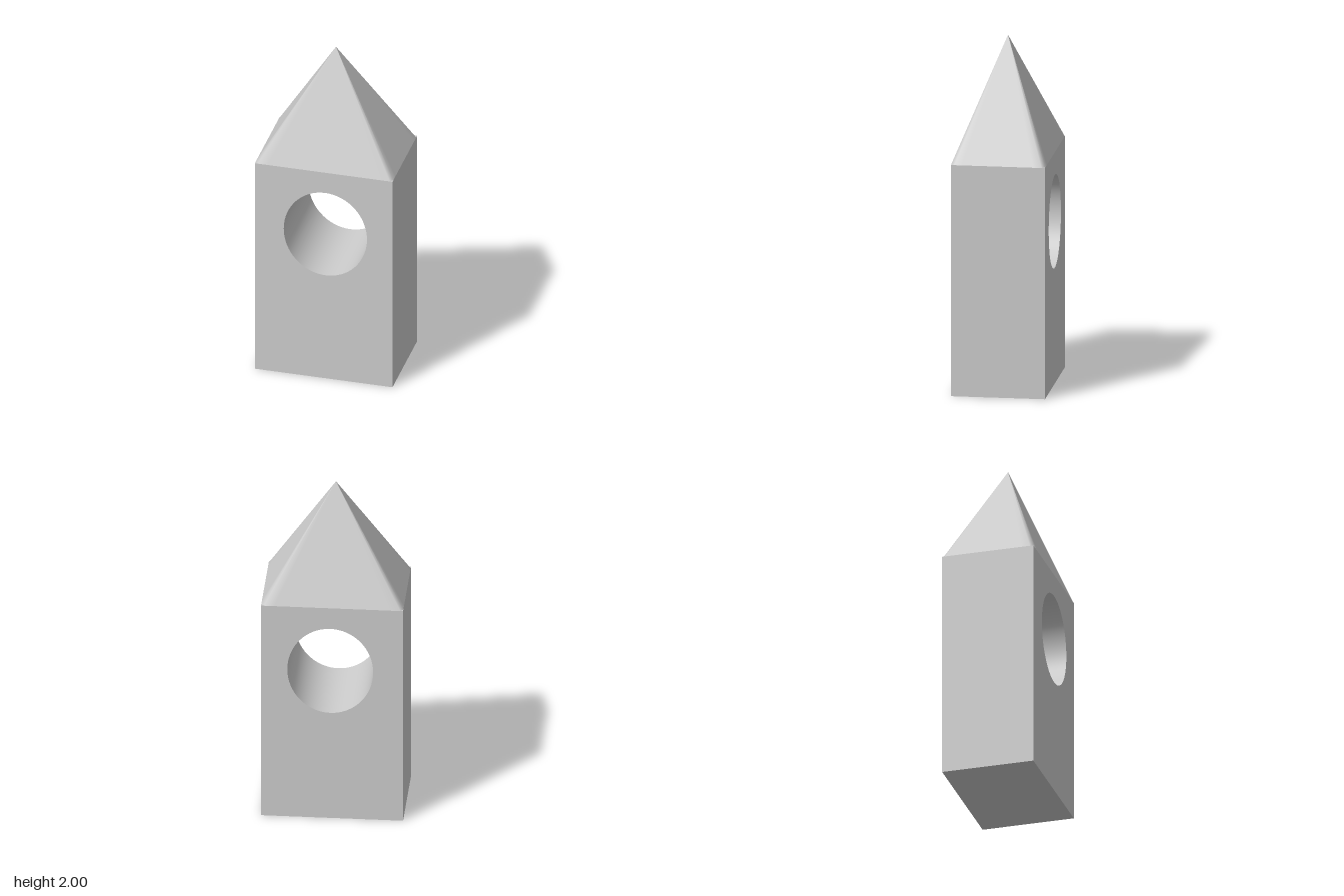
import * as THREE from 'three';
import { toCreasedNormals } from 'three/addons/utils/BufferGeometryUtils.js';

const HALF_W = 0.4, HALF_D = 0.267, EAVES = 1.333, PEAK = 2;

// Block with an oval opening running from front to back
function bodyGeometry() {
  const shape = new THREE.Shape([
    new THREE.Vector2(-HALF_W, 0), new THREE.Vector2(HALF_W, 0),
    new THREE.Vector2(HALF_W, EAVES), new THREE.Vector2(-HALF_W, EAVES),
  ]);
  const hole = new THREE.Path();
  hole.absellipse(0.01, 0.935, 0.242, 0.267, 0, Math.PI * 2, true);
  shape.holes.push(hole);
  const geo = new THREE.ExtrudeGeometry(shape, { depth: HALF_D * 2, bevelEnabled: false, curveSegments: 32 });
  geo.translate(0, 0, -HALF_D);
  return toCreasedNormals(geo, 0.6);
}

// Pyramid with slightly cut, softly shaded corner ridges
function roofGeometry() {
  const corner = [[HALF_W, HALF_D - 0.065], [HALF_W, HALF_D - 0.02], [HALF_W - 0.016, HALF_D], [HALF_W - 0.075, HALF_D]];
  const ring = [];
  for (const [sx, sz] of [[1, 1], [-1, 1], [-1, -1], [1, -1]]) {
    const pts = sx * sz > 0 ? corner : [...corner].reverse();
    for (const [x, z] of pts) ring.push([x * sx, z * sz]);
  }
  const n = ring.length, position = [], index = [];
  for (const [x, z] of ring) position.push(x, EAVES, z);
  // A separate peak point for every side keeps the tip crisp
  for (let i = 0; i < n; i++) {
    position.push(0, PEAK, 0);
    index.push((i + 1) % n, i, n + i);
  }
  const geo = new THREE.BufferGeometry();
  geo.setAttribute('position', new THREE.Float32BufferAttribute(position, 3));
  geo.setIndex(index);
  geo.computeVertexNormals();
  return geo;
}

export function createModel() {
  const stone = new THREE.MeshStandardMaterial({ color: 0xcccccc });
  stone.name = 'light grey';
  const model = new THREE.Group();
  model.name = 'tower';
  const addPart = (name, geometry) => {
    const mesh = new THREE.Mesh(geometry, stone);
    mesh.name = name;
    model.add(mesh);
  };
  addPart('body', bodyGeometry());
  addPart('roof', roofGeometry());
  return model;
}
